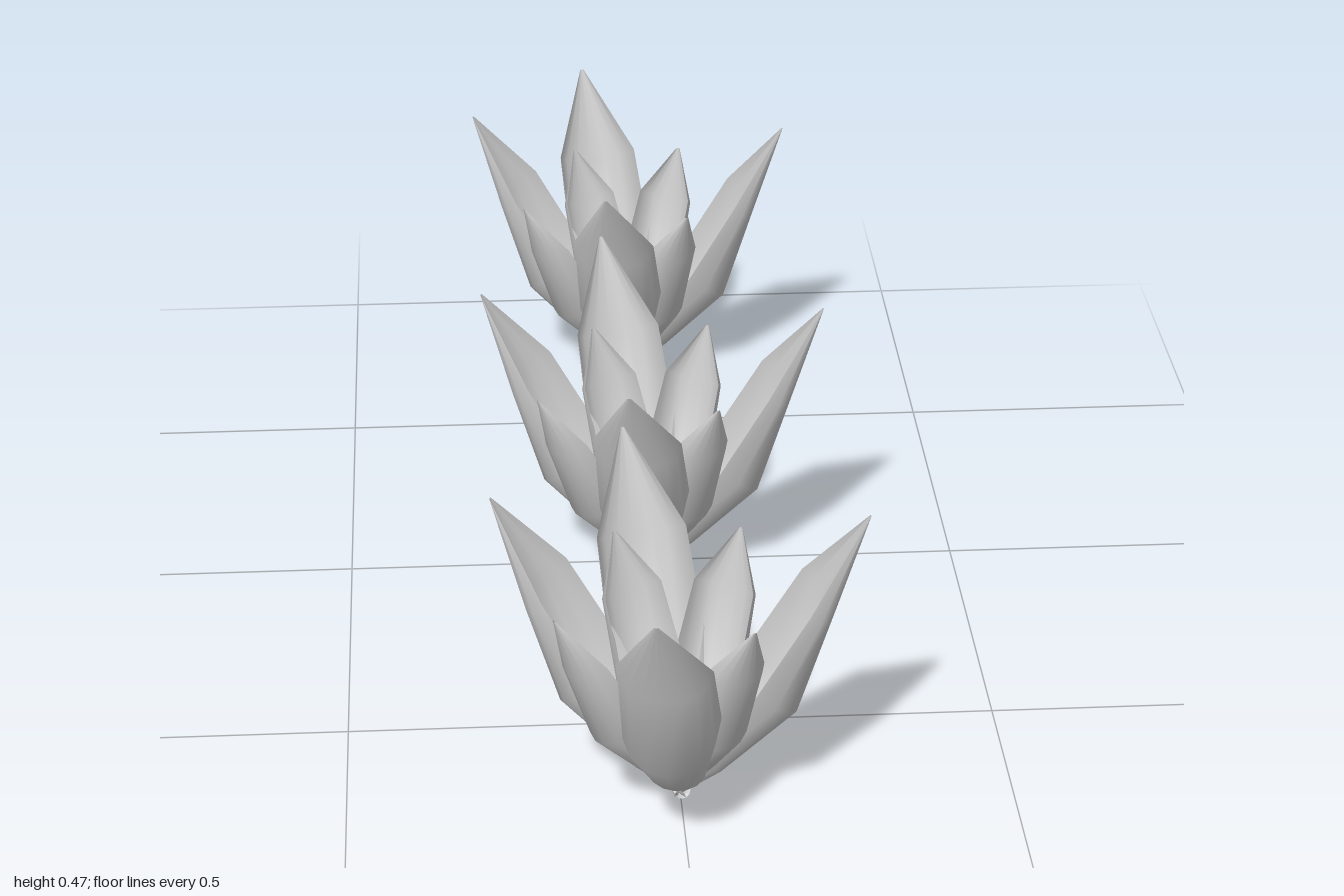
import * as THREE from 'three';

// Petal rows: midrib radius, midrib height, edge radius, edge height, half width
const OUTER = [
  [-0.01, 0.005, -0.01, 0.015, 0.012],
  [0.07, 0.06, 0.03, 0.08, 0.045],
  [0.18, 0.16, 0.11, 0.22, 0.073],
  [0.23, 0.32, 0.19, 0.35, 0.07],
  [0.285, 0.476, 0.284, 0.476, 0.003],
];
const INNER = [
  [-0.015, 0.015, -0.015, 0.025, 0.01],
  [0.05, 0.06, 0.025, 0.085, 0.038],
  [0.13, 0.15, 0.08, 0.19, 0.055],
  [0.17, 0.28, 0.135, 0.3, 0.05],
  [0.19, 0.375, 0.189, 0.375, 0.003],
];

// Cupped sheet growing toward +x, lofted from parabolic cross-sections
function petalGeometry(rows) {
  const cols = 8, pos = [], idx = [];
  rows.forEach(([r, y, er, ey, w], i) => {
    for (let j = 0; j <= cols; j++) {
      const u = (j / cols) * 2 - 1, k = u * u;
      pos.push(r + (er - r) * k, y + (ey - y) * k, w * Math.sin(u * Math.PI / 2));
      if (i && j) {
        const d = i * (cols + 1) + j, c = d - 1, b = d - cols - 1, a = b - 1;
        idx.push(a, b, c, b, d, c);
      }
    }
  });
  const g = new THREE.BufferGeometry();
  g.setAttribute('position', new THREE.Float32BufferAttribute(pos, 3));
  g.setIndex(idx);
  g.computeVertexNormals();
  return g;
}

export function createModel() {
  const model = new THREE.Group();
  model.name = 'flowers';
  const mat = new THREE.MeshStandardMaterial({ color: 0xcccccc, side: THREE.DoubleSide });
  const outer = petalGeometry(OUTER), inner = petalGeometry(INNER);

  // Plan positions of the petal tips
  const outerTips = [[-0.055, 0.295], [0.275, 0], [-0.07, -0.295], [-0.275, -0.085]];
  const innerTips = [[0.095, 0.15], [0.1, -0.155], [-0.09, -0.155], [-0.19, 0.1]];

  function addPetals(flower, name, geometry, length, tips) {
    tips.forEach(([x, z]) => {
      const petal = new THREE.Mesh(geometry, mat);
      petal.name = name;
      petal.rotation.y = Math.atan2(-z, x);
      petal.scale.x = Math.hypot(x, z) / length;
      flower.add(petal);
    });
  }

  // Row of three flowers
  for (const z of [-0.705, 0.025, 0.705]) {
    const flower = new THREE.Group();
    flower.name = 'flower';
    addPetals(flower, 'outerPetal', outer, 0.285, outerTips);
    addPetals(flower, 'innerPetal', inner, 0.19, innerTips);
    flower.position.z = z;
    model.add(flower);
  }
  return model;
}
